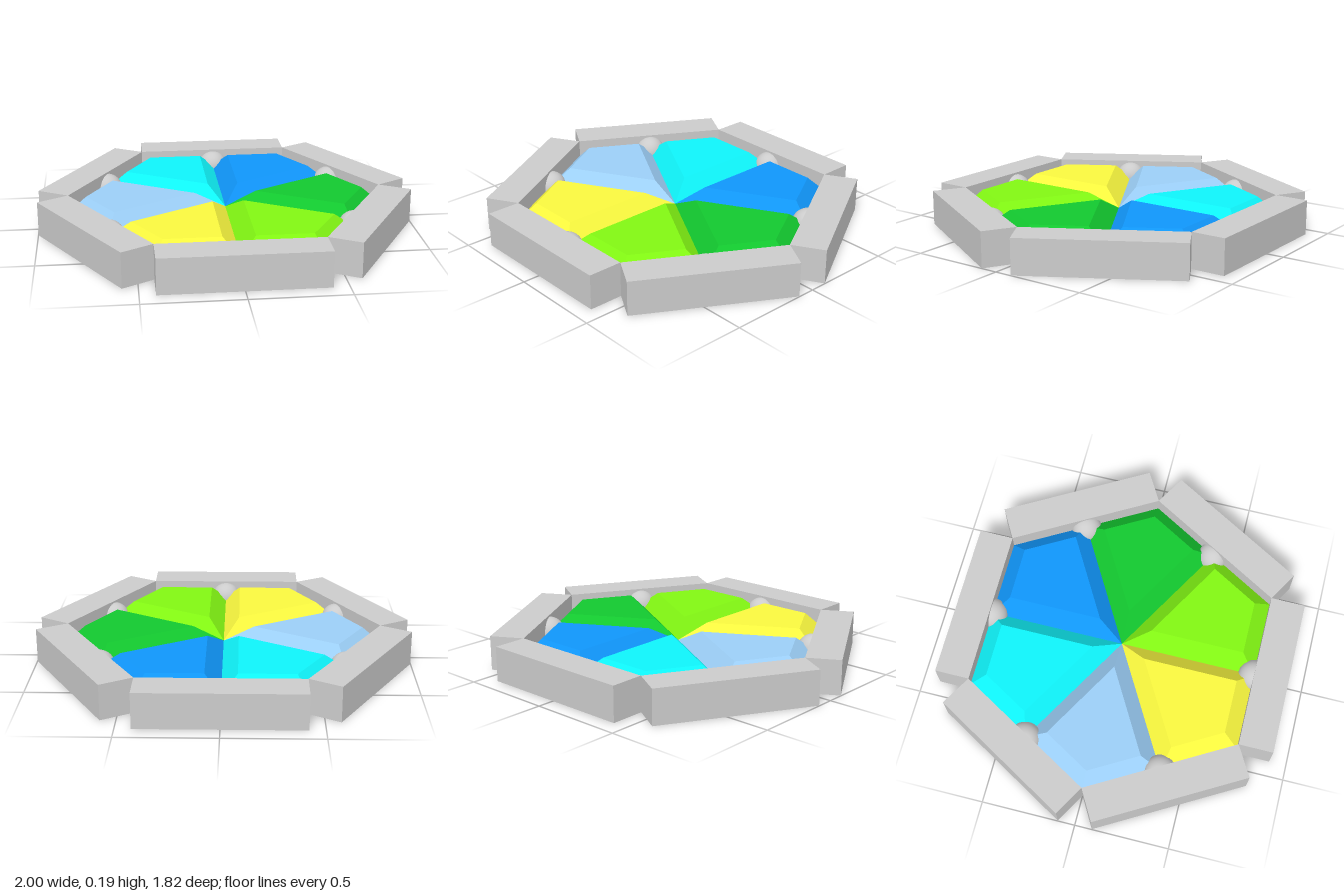
import * as THREE from 'three';

const APOTHEM = 0.727;   // centre to the inside of each wall
const HEIGHT = 0.185;    // wall height
const MID = HEIGHT / 2;  // girdle level of the gems
const BEVEL = 0.082;     // bevel width and rise

// Kite-shaped gem pointing along +z: a bevelled table above and below a sharp girdle
function gemGeometry() {
  const s = APOTHEM * 0.5, c = APOTHEM * Math.cos(Math.PI / 6);
  const kite = [[0, 0], [-s, c], [0, APOTHEM / Math.cos(Math.PI / 6)], [s, c]];
  const centre = APOTHEM / (0.5 + Math.cos(Math.PI / 6));  // incircle centre on the axis
  const k = 1 - BEVEL / (centre * 0.5);                    // scale giving an even inset
  const ring = (scale, y) => kite.map(([x, z]) => [x * scale, y, centre + (z - centre) * scale]);
  const rings = [ring(k, MID - BEVEL), ring(1, MID), ring(k, MID + BEVEL)];

  const pos = [];
  const quad = (a, b, c2, d) => pos.push(...a, ...b, ...c2, ...a, ...c2, ...d);
  for (let r = 0; r < 2; r++) {
    for (let i = 0; i < 4; i++) {
      const j = (i + 1) % 4;
      quad(rings[r][i], rings[r][j], rings[r + 1][j], rings[r + 1][i]);
    }
  }
  quad(...rings[2]);
  quad(...[...rings[0]].reverse());

  const geo = new THREE.BufferGeometry();
  geo.setAttribute('position', new THREE.Float32BufferAttribute(pos, 3));
  geo.computeVertexNormals();
  return geo;
}

export function createModel() {
  const group = new THREE.Group();
  const grey = new THREE.MeshStandardMaterial({ color: 0xcccccc });
  const wallDepth = 0.183;
  const wallGeo = new THREE.BoxGeometry(0.84, HEIGHT, wallDepth);
  const ballGeo = new THREE.SphereGeometry(0.082, 32, 20);
  const gemGeo = gemGeometry();
  const colors = [0x82f713, 0x13c82f, 0x1096fa, 0x0ff4fa, 0x9ccff7, 0xf9f83f];

  colors.forEach((color, i) => {
    const angle = i * Math.PI / 3;
    const sector = new THREE.Group();
    sector.name = `sector${i + 1}`;
    sector.rotation.y = angle;

    // Outer wall block
    const wall = new THREE.Mesh(wallGeo, grey);
    wall.name = 'wall';
    wall.position.set(0, MID, APOTHEM + wallDepth / 2);

    // Ball set against the wall where two gems meet
    const ball = new THREE.Mesh(ballGeo, grey);
    ball.name = 'ball';
    ball.position.set(0, MID, APOTHEM);

    // Coloured gem, turned half a step to sit between two balls
    const gem = new THREE.Mesh(gemGeo, new THREE.MeshStandardMaterial({ color, flatShading: true }));
    gem.name = 'gem';
    gem.rotation.y = Math.PI / 6;

    sector.add(wall, ball, gem);
    group.add(sector);
  });
  return group;
}
